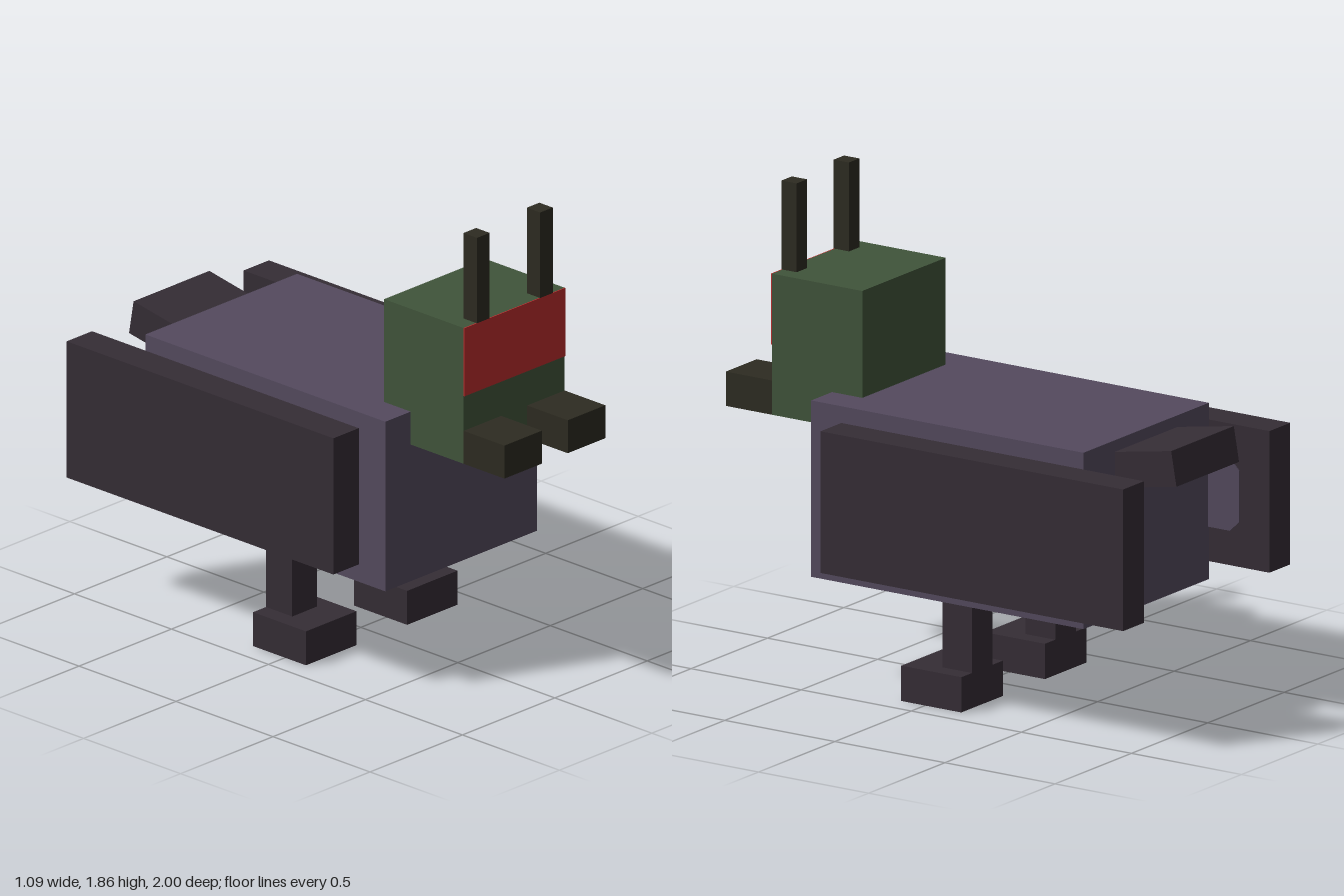
import * as THREE from 'three';

const material = (name, color) => {
  const m = new THREE.MeshStandardMaterial({ color });
  m.name = name;
  return m;
};

export function createModel() {
  const model = new THREE.Group();
  model.name = 'insectCreature';

  const purple = material('purpleShell', 0x544a5e);
  const dusk = material('darkWing', 0x352d35);
  const green = material('greenHead', 0x40543a);
  const olive = material('darkOlive', 0x2d2b21);
  const red = material('redEyes', 0xb92d2d);

  const add = (name, geometry, mat) => {
    const mesh = new THREE.Mesh(geometry, mat);
    mesh.name = name;
    model.add(mesh);
    return mesh;
  };

  // Box from its minimum and maximum along each axis
  const box = (name, mat, [x0, x1], [y0, y1], [z0, z1]) => {
    const mesh = add(name, new THREE.BoxGeometry(x1 - x0, y1 - y0, z1 - z0), mat);
    mesh.position.set((x0 + x1) / 2, (y0 + y1) / 2, (z0 + z1) / 2);
    return mesh;
  };

  // The same box on both sides
  const pair = (name, mat, [x0, x1], y, z) => {
    box(name + 'Left', mat, [x0, x1], y, z);
    box(name + 'Right', mat, [-x1, -x0], y, z);
  };

  // Body and head
  box('body', purple, [-0.41, 0.41], [0.415, 1.1], [-0.72, 0.517]);
  box('head', green, [-0.273, 0.273], [0.967, 1.515], [0.38, 0.79]);
  box('eyeBand', red, [-0.273, 0.273], [1.24, 1.515], [0.789, 0.794]);

  // Antennae and mandibles
  pair('antenna', olive, [0.137, 0.205], [1.515, 1.86], [0.725, 0.794]);
  pair('mandible', olive, [0.07, 0.273], [0.967, 1.1], [0.79, 1]);

  // Wing cases, legs and feet
  pair('wing', dusk, [0.41, 0.547], [0.485, 1.035], [-0.995, 0.38]);
  pair('leg', dusk, [0.205, 0.34], [0.135, 0.415], [-0.165, -0.03]);
  pair('foot', dusk, [0.137, 0.41], [0, 0.137], [-0.165, 0.108]);

  // Pale rounded panels on the inner faces of the wings
  const w = 0.55, h = 0.14, c = 0.04;
  const outline = new THREE.Shape([
    [-w + c, -h], [w - c, -h], [w, -h + c], [w, h - c],
    [w - c, h], [-w + c, h], [-w, h - c], [-w, -h + c],
  ].map(([x, y]) => new THREE.Vector2(x, y)));
  const panel = new THREE.ExtrudeGeometry(outline, { depth: 0.006, bevelEnabled: false });
  panel.translate(0, 0, -0.003).rotateY(Math.PI / 2);
  for (const side of [1, -1]) {
    const name = side > 0 ? 'wingPanelLeft' : 'wingPanelRight';
    add(name, panel, purple).position.set(side * 0.408, 0.76, -0.31);
  }

  // Tail flap, tilted up towards its tip
  const tail = add('tail', new THREE.BoxGeometry(0.41, 0.137, 0.41), dusk);
  tail.position.set(0, 0.997, -0.786);
  tail.rotation.x = THREE.MathUtils.degToRad(10);

  return model;
}
